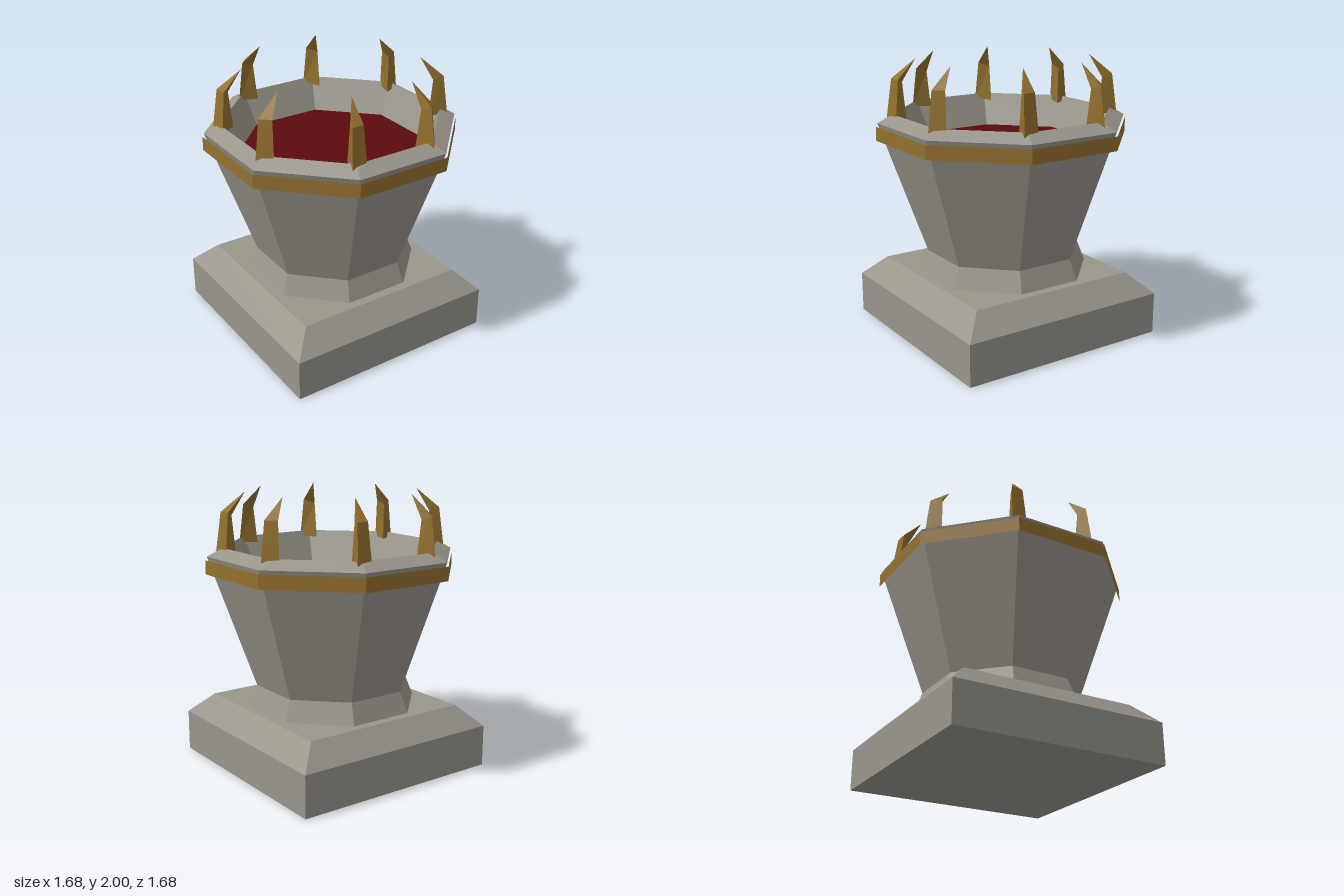
import * as THREE from 'three';

const stone = new THREE.MeshStandardMaterial({ color: 0x99958b, flatShading: true });
stone.name = 'stone';
const gold = new THREE.MeshStandardMaterial({ color: 0x93702f, flatShading: true });
gold.name = 'gold';
const red = new THREE.MeshStandardMaterial({ color: 0x5c0a0c, flatShading: true });
red.name = 'darkRed';

// Regular prism-like shape: profile of [distance to flat side, height], flats facing the axes
function faceted(sides, profile) {
  const k = 1 / Math.cos(Math.PI / sides);
  const points = profile.map(([d, y]) => new THREE.Vector2(d * k, y));
  return new THREE.LatheGeometry(points, sides, Math.PI / sides);
}

// Three-sided claw: base triangle, knee triangle, then a tip bending inward (+x is outward)
function clawGeometry() {
  const base = [[0.83, 1.575, 0.034], [0.773, 1.58, -0.073], [0.69, 1.57, 0.04]];
  const knee = [[0.79, 1.86, 0.03], [0.75, 1.86, -0.05], [0.715, 1.835, 0.03]];
  const tip = [0.622, 2, 0];
  const v = [];
  for (let i = 0; i < 3; i++) {
    const j = (i + 1) % 3;
    v.push(...base[i], ...base[j], ...knee[j]);
    v.push(...base[i], ...knee[j], ...knee[i]);
    v.push(...knee[i], ...knee[j], ...tip);
  }
  v.push(...base[2], ...base[1], ...base[0]);
  const g = new THREE.BufferGeometry();
  g.setAttribute('position', new THREE.Float32BufferAttribute(v, 3));
  g.computeVertexNormals();
  return g;
}

export function createModel() {
  const model = new THREE.Group();
  model.name = 'brazier';
  const add = (name, geometry, material) => {
    const mesh = new THREE.Mesh(geometry, material);
    mesh.name = name;
    model.add(mesh);
    return mesh;
  };

  // Square plinth with a bevelled top
  add('plinth', faceted(4, [[0, 0], [0.79, 0], [0.79, 0.3], [0.64, 0.45], [0, 0.45]]), stone);

  // Octagonal bowl: flared foot, widening body, rim and inner wall
  add('bowl', faceted(8, [
    [0.575, 0.45], [0.52, 0.6], [0.79, 1.43], [0.822, 1.53],
    [0.83, 1.555], [0.73, 1.613], [0.625, 1.38],
  ]), stone);

  // Filling inside the bowl
  add('filling', faceted(8, [[0.627, 1.38], [0, 1.38]]), red);

  // Open metal band below the rim
  add('band', faceted(8, [[0.84, 1.43], [0.84, 1.53]]), gold);

  // One claw on each corner of the rim
  const claw = clawGeometry();
  for (let i = 0; i < 8; i++) {
    add('claw' + (i + 1), claw, gold).rotation.y = -(i + 0.5) * Math.PI / 4;
  }
  return model;
}
